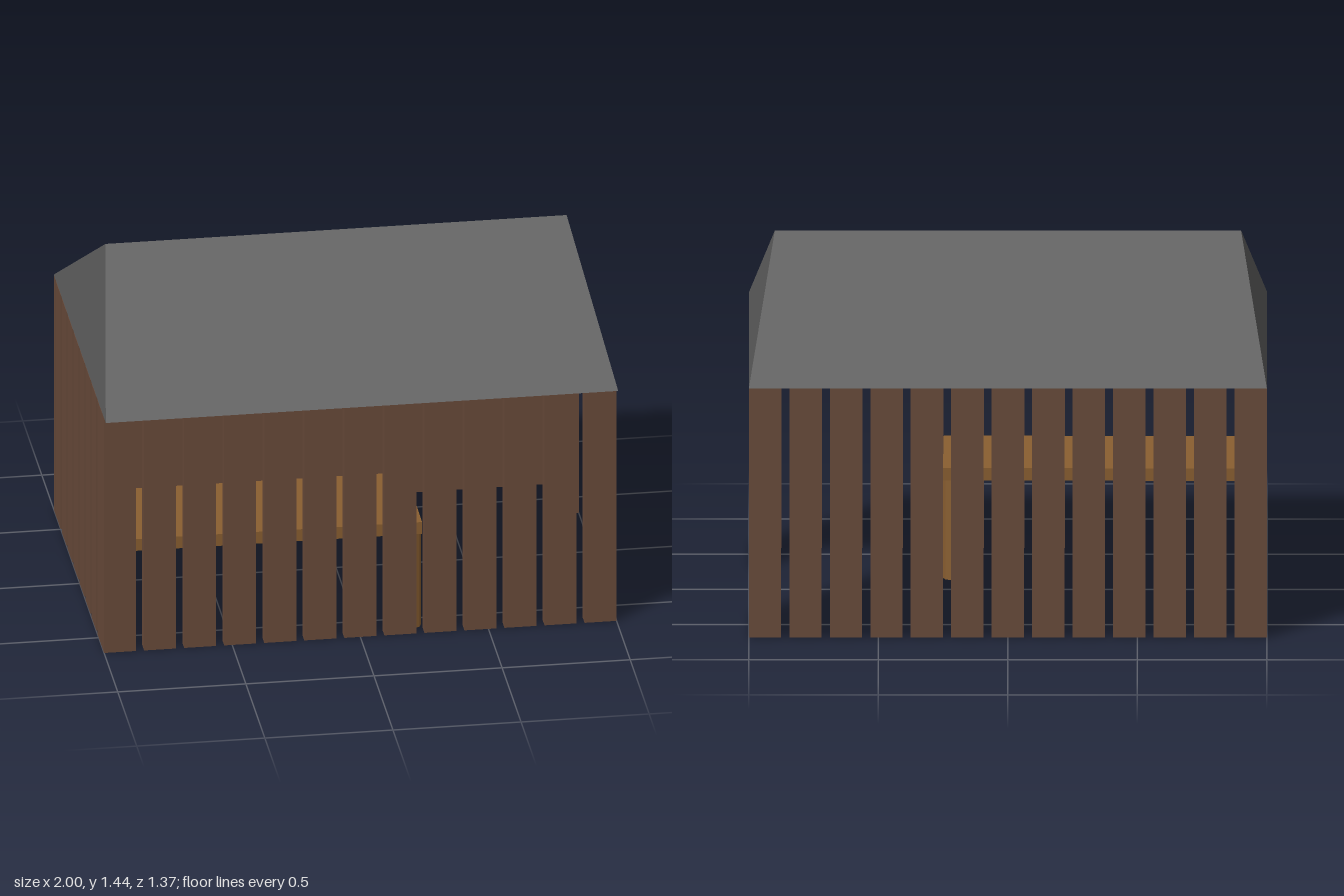
import * as THREE from 'three';

const plankWood = new THREE.MeshStandardMaterial({ color: 0x684a3a });
plankWood.name = 'plank brown';
const tableWood = new THREE.MeshStandardMaterial({ color: 0x895e30, flatShading: true });
tableWood.name = 'table brown';
const roofGrey = new THREE.MeshStandardMaterial({ color: 0x5a5a5a, flatShading: true, side: THREE.DoubleSide });
roofGrey.name = 'roof grey';

function box(name, material, w, h, d, x, y, z) {
  const mesh = new THREE.Mesh(new THREE.BoxGeometry(w, h, d), material);
  mesh.name = name;
  mesh.position.set(x, y, z);
  return mesh;
}

// Hollow hipped roof: two slopes and two steep ends, open underneath
function makeRoof() {
  const eaves = [[-1, 1, 0.685], [1, 1, 0.685], [1, 1, -0.685], [-1, 1, -0.685]];
  const [a, b, c, d] = eaves;
  const left = [0.9, 1.44, 0], right = [-0.9, 1.44, 0];
  const triangles = [a, b, left, a, left, right, c, d, right, c, right, left, b, c, left, d, a, right];
  const geometry = new THREE.BufferGeometry();
  geometry.setAttribute('position', new THREE.Float32BufferAttribute(triangles.flat(), 3));
  geometry.computeVertexNormals();
  const roof = new THREE.Mesh(geometry, roofGrey);
  roof.name = 'roof';
  return roof;
}

// Upright planks with narrow gaps; one end has a wide doorway
function makeWalls() {
  const walls = new THREE.Group();
  walls.name = 'walls';
  const width = 0.125, thick = 0.05, step = 0.15625;
  for (let i = 0; i < 13; i++) {
    const x = -0.9375 + i * step;
    walls.add(box('frontPlank', plankWood, width, 1, thick, x, 0.5, 0.616));
    walls.add(box('backPlank', plankWood, width, 1, thick, x, 0.5, -0.659));
  }
  for (let i = 0; i < 8; i++) {
    const z = 0.527 - i * step;
    walls.add(box('rightPlank', plankWood, thick, 0.996, width, -0.975, 0.498, z));
    if (i < 2 || i > 5) walls.add(box('leftPlank', plankWood, thick, 0.996, width, 0.975, 0.502, z));
  }
  return walls;
}

// Long table along the front wall
function makeTable() {
  const table = new THREE.Group();
  table.name = 'table';
  table.add(box('tableTop', tableWood, 1.2, 0.05, 0.46, 0, 0.425, 0));
  const legGeometry = new THREE.CylinderGeometry(0.032, 0.032, 0.4, 8);
  for (const sx of [-1, 1]) {
    for (const sz of [-1, 1]) {
      const leg = new THREE.Mesh(legGeometry, tableWood);
      leg.name = 'tableLeg';
      leg.position.set(sx * 0.568, 0.2, sz * 0.198);
      table.add(leg);
    }
  }
  table.position.set(-0.35, 0, 0.358);
  table.rotation.y = -0.007;
  return table;
}

export function createModel() {
  const shed = new THREE.Group();
  shed.name = 'shed';
  shed.add(makeWalls(), makeRoof(), makeTable());
  return shed;
}
